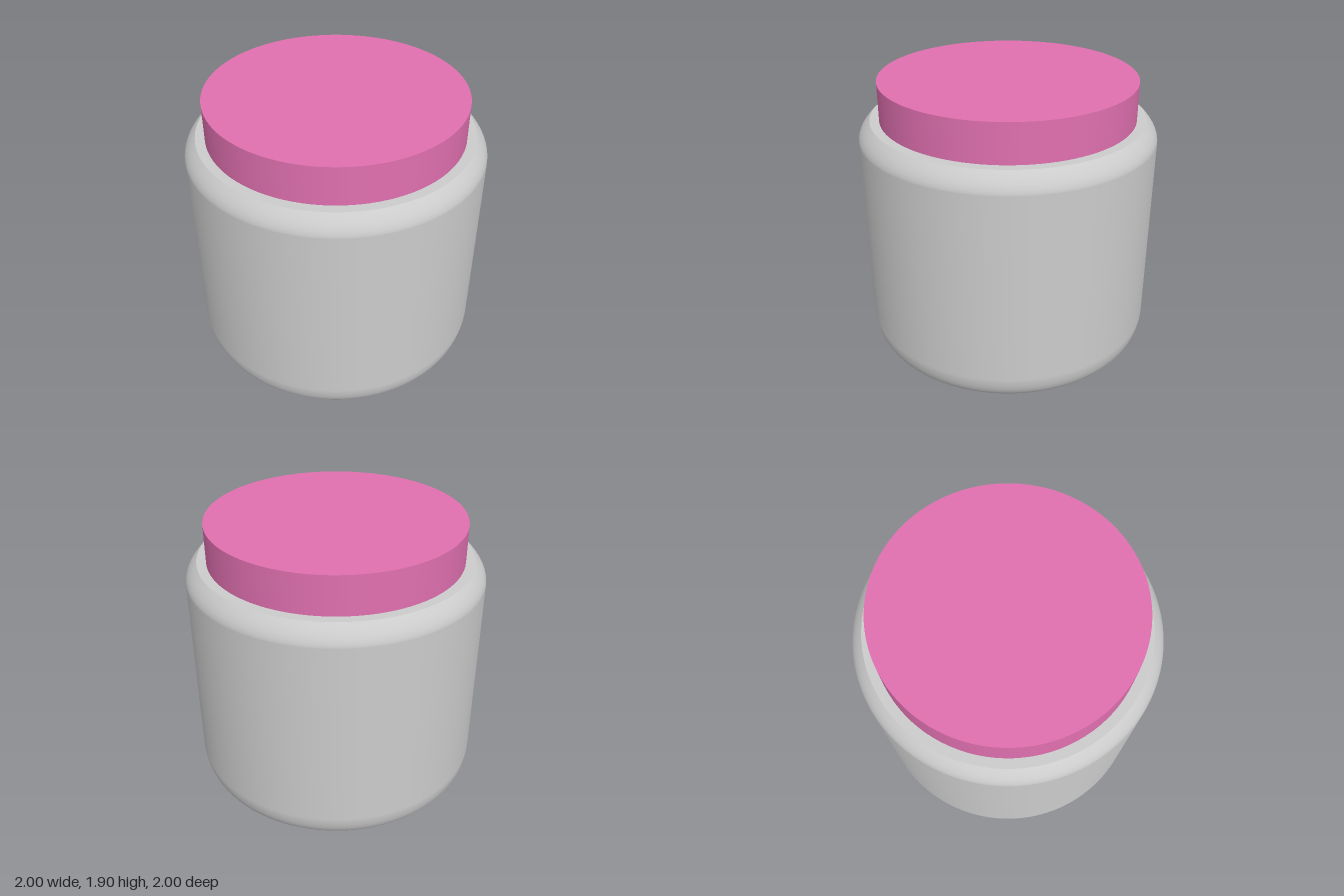
import * as THREE from 'three';

const SEGMENTS = 96;

export function createModel() {
  const group = new THREE.Group();
  const grey = new THREE.MeshStandardMaterial({ color: 0xcccccc });
  const pink = new THREE.MeshStandardMaterial({ color: 0xe070b0 });

  function add(name, geometry, material, y = 0) {
    const mesh = new THREE.Mesh(geometry, material);
    mesh.name = name;
    mesh.position.y = y;
    group.add(mesh);
  }

  // Jar wall: rounded foot, straight side, rounded shoulder
  const v = (x, y) => new THREE.Vector2(x, y);
  const foot = new THREE.QuadraticBezierCurve(v(0.85, 0), v(0.99, 0), v(1, 0.19));
  const shoulder = new THREE.QuadraticBezierCurve(v(1, 1.51), v(0.995, 1.57), v(0.92, 1.64));
  const profile = [...foot.getPoints(12), ...shoulder.getPoints(10)];
  add('jarWall', new THREE.LatheGeometry(profile, SEGMENTS), grey);

  // Flat base and flat rim, kept separate for crisp edges
  add('jarBase', new THREE.CircleGeometry(0.85, SEGMENTS).rotateX(Math.PI / 2), grey);
  add('jarRim', new THREE.CircleGeometry(0.92, SEGMENTS).rotateX(-Math.PI / 2), grey, 1.64);

  // Lid standing on the rim
  add('lid', new THREE.CylinderGeometry(0.857, 0.857, 0.262, SEGMENTS), pink, 1.771);

  return group;
}
